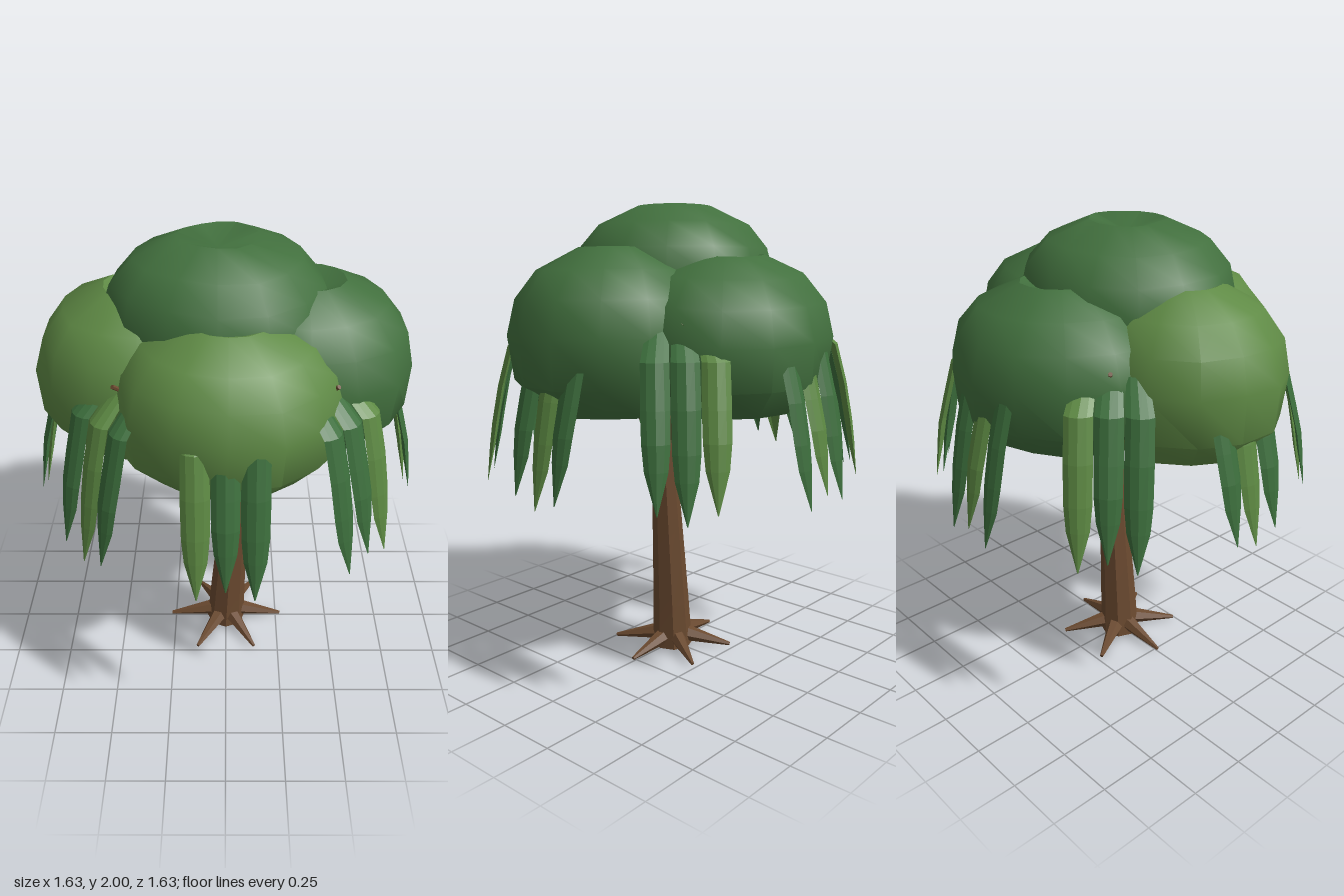
import * as THREE from 'three';
import { toCreasedNormals } from 'three/addons/utils/BufferGeometryUtils.js';

const mat = (name, color, side = THREE.FrontSide) => {
  const m = new THREE.MeshStandardMaterial({ color, side });
  m.name = name;
  return m;
};

export function createModel() {
  const bark = mat('bark brown', 0x6b4a30);
  const dark = mat('deep green', 0x42703e);
  const light = mat('light green', 0x5f8a45);
  const leafDark = mat('frond deep green', 0x3c6e3c, THREE.DoubleSide);
  const leafLight = mat('frond light green', 0x5c8842, THREE.DoubleSide);

  const tree = new THREE.Group();
  tree.name = 'tree';
  const add = (name, geometry, material, parent = tree) => {
    const mesh = new THREE.Mesh(geometry, material);
    mesh.name = name;
    parent.add(mesh);
  };

  // Tapered faceted rod between two points
  const rod = (a, b, ra, rb, sides) => {
    const dir = b.clone().sub(a);
    const g = new THREE.CylinderGeometry(rb, ra, dir.length(), sides);
    g.applyQuaternion(new THREE.Quaternion().setFromUnitVectors(
      new THREE.Vector3(0, 1, 0), dir.clone().normalize()));
    g.translate(...a.clone().add(b).multiplyScalar(0.5).toArray());
    return toCreasedNormals(g, 0.3);
  };
  const polar = (r, y, a, x = 0) =>
    new THREE.Vector3(x + r * Math.cos(a), y, r * Math.sin(a));

  // Leaning trunk
  const trunk = new THREE.CylinderGeometry(0.05, 0.09, 1.05, 8, 5);
  trunk.translate(0, 0.525, 0);
  const tp = trunk.attributes.position;
  for (let i = 0; i < tp.count; i++) {
    const t = tp.getY(i) / 1.05;
    tp.setX(i, tp.getX(i) + 0.07 * Math.pow(t, 1.15));
  }
  add('trunk', toCreasedNormals(trunk, 0.3), bark);

  // Six spreading roots
  for (let i = 0; i < 6; i++) {
    const a = (i * Math.PI) / 3;
    add('root', rod(polar(0.06, 0.054, a), polar(0.27, 0.014, a), 0.038, 0.008, 6), bark);
  }

  // Eight bent branches fanning into the crown
  for (let i = 0; i < 8; i++) {
    const a = (i * Math.PI) / 4;
    const knee = polar(0.14, 1.18, a, 0.058);
    add('lowerBranch', rod(polar(0.012, 0.99, a, 0.068), knee, 0.032, 0.024, 6), bark);
    add('upperBranch', rod(knee, polar(0.605, 1.555, a), 0.024, 0.009, 6), bark);
  }

  // Crown lobes: flat underneath, rounded sides, sunken dimple on top
  const profile = [[0, 0], [0.71, 0], [0.965, 0.19], [1, 0.48], [0.92, 0.7],
    [0.73, 0.87], [0.35, 1], [0, 0.91]].map(p => new THREE.Vector2(...p));
  const lobe = (name, [x, z], [rx, rz], y0, y1, seed, material) => {
    const g = new THREE.LatheGeometry(profile, 14);
    const p = g.attributes.position;
    for (let i = 0; i < p.count; i++) {
      const px = p.getX(i), h = p.getY(i), pz = p.getZ(i);
      const a = Math.atan2(pz, px);
      const k = 1 + 0.015 * Math.sin(3 * a + seed) + 0.02 * Math.sin(5 * a + 4 * h + 2 * seed);
      const lift = h > 0.3 ? 0.01 * Math.sin(2 * a + seed * 3) * Math.hypot(px, pz) : 0;
      p.setXYZ(i, x + px * k * rx, y0 + h * (y1 - y0) + lift, z + pz * k * rz);
    }
    add(name, toCreasedNormals(g, 0.74), material);
  };
  lobe('leftCrownLobe', [0.32, 0.025], [0.455, 0.42], 1.175, 1.83, 1, dark);
  lobe('rightCrownLobe', [-0.335, 0.03], [0.455, 0.41], 1.15, 1.8, 2.3, light);
  lobe('frontCrownLobe', [0.01, 0.3], [0.475, 0.425], 1.15, 1.77, 3.1, light);
  lobe('backCrownLobe', [0.015, -0.3], [0.475, 0.44], 1.175, 1.795, 4.4, dark);
  lobe('topCrownLobe', [-0.03, 0.015], [0.465, 0.435], 1.42, 2, 5.2, dark);

  // Hanging frond: a pointed, slightly folded strip that droops from the crown
  // Rows: radius, height, half width
  const rows = [[0.57, 1.53, 0.042], [0.705, 1.42, 0.054], [0.752, 1.25, 0.056],
    [0.783, 1.09, 0.054], [0.797, 0.99, 0.045], [0.813, 0.83, 0.002]];
  const fold = [-1, -0.6, 0, 0.6, 1];
  const frond = (offset, drop) => {
    const pos = [], index = [];
    rows.forEach(([r, y, w], j) => {
      const spread = offset * (j === 0 ? 0.85 : 1);
      fold.forEach((u, i) => {
        pos.push(spread + u * w, y + (j > 2 ? drop : 0), r - 0.42 * w * u * u);
        if (j < rows.length - 1 && i < 4) {
          const a = j * 5 + i;
          index.push(a, a + 5, a + 1, a + 1, a + 5, a + 6);
        }
      });
    });
    const g = new THREE.BufferGeometry();
    g.setAttribute('position', new THREE.Float32BufferAttribute(pos, 3));
    g.setIndex(index);
    const flat = g.toNonIndexed();
    flat.computeVertexNormals();
    return flat;
  };

  // Eight bundles of three fronds around the crown
  const lightSlot = [0, 2, 1, 2, 1, 0, 1, 1];
  for (let b = 0; b < 8; b++) {
    const bundle = new THREE.Group();
    bundle.name = 'frondBundle';
    bundle.rotation.y = (b * Math.PI) / 4;
    for (let i = 0; i < 3; i++) {
      const drop = 0.04 * ((i + (b >> 1)) % 2);
      add('frond', frond((i - 1) * 0.113, drop), i === lightSlot[b] ? leafLight : leafDark, bundle);
    }
    tree.add(bundle);
  }
  return tree;
}
